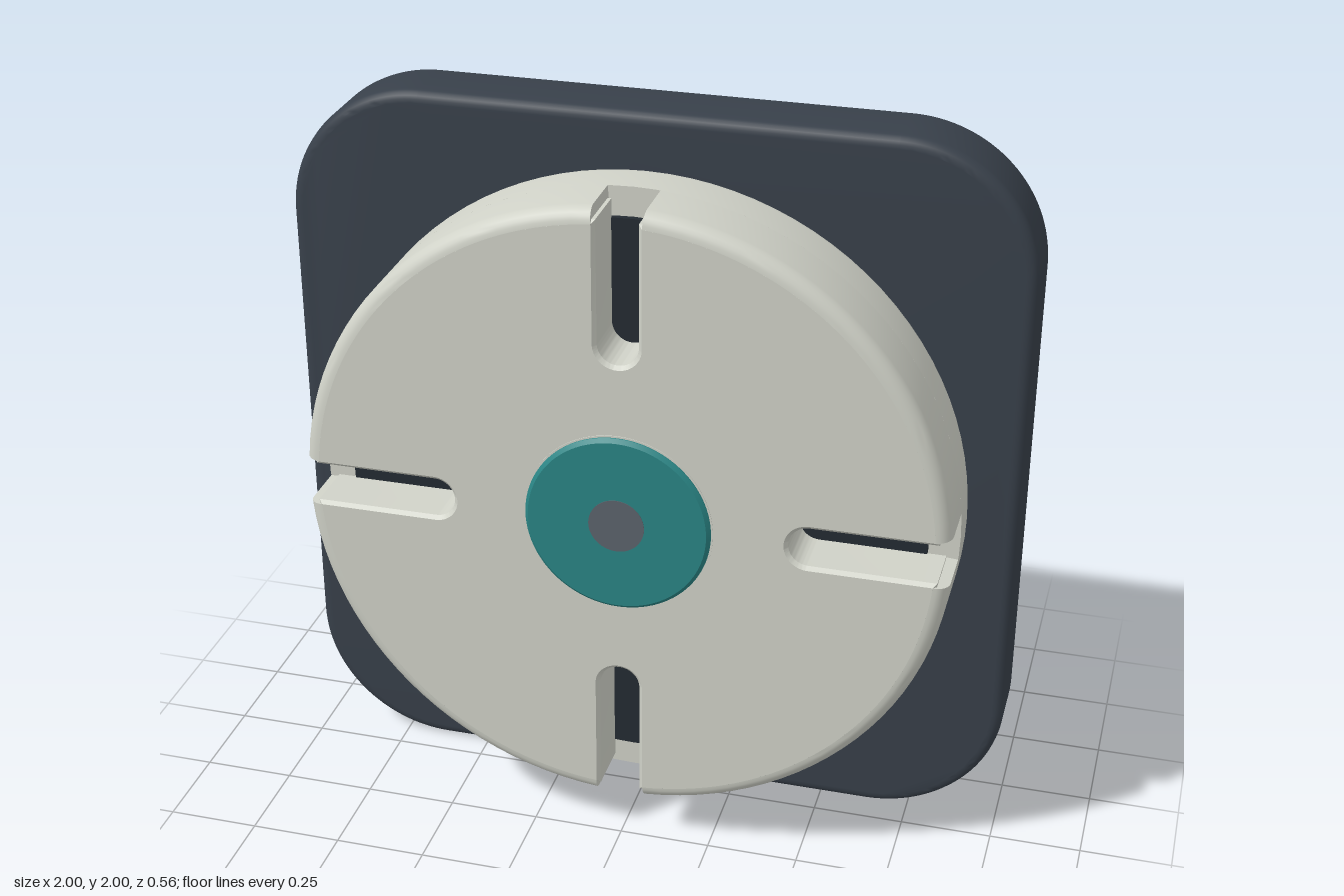
import * as THREE from 'three';
import { toCreasedNormals } from 'three/addons/utils/BufferGeometryUtils.js';

const PI = Math.PI;
const CY = 1; // height of the dial axis

const paint = (color) => new THREE.MeshStandardMaterial({ color, side: THREE.DoubleSide });
const plateMat = paint(0x38404a);
const bodyMat = paint(0xd0d2c8);
const darkMat = paint(0x242b32);
const tealMat = paint(0x2a8585);
const steelMat = paint(0x5c636b);
const orangeMat = paint(0xd9692a);

function add(parent, name, geo, mat) {
  const mesh = new THREE.Mesh(geo, mat);
  mesh.name = name;
  parent.add(mesh);
  return mesh;
}

// Turned part around the z axis; profile points are [radius, z]
function turned(points, start = 0, length = 2 * PI, segments = 96) {
  const pts = points.map(([r, z]) => new THREE.Vector2(r, z));
  const geo = new THREE.LatheGeometry(pts, segments, start, length);
  return toCreasedNormals(geo.rotateX(PI / 2), 0.6);
}

// Solid disc between two z values with a chamfered front edge
const disc = (r, z0, z1, c = 0) =>
  turned([[0, z0], [r, z0], [r, z1 - c], [r - c, z1], [0, z1]]);

// Quarter-round profile points
function fillet(cr, cz, rad, from, to, n = 6) {
  return Array.from({ length: n + 1 }, (_, i) => {
    const t = from + ((to - from) * i) / n;
    return [cr + rad * Math.cos(t), cz + rad * Math.sin(t)];
  });
}

function plateGeometry() {
  const bevel = 0.03, h = 1 - bevel, r = 0.37 - bevel, k = h - r;
  const s = new THREE.Shape();
  s.absarc(k, k, r, 0, PI / 2);
  s.absarc(-k, k, r, PI / 2, PI);
  s.absarc(-k, -k, r, PI, 1.5 * PI);
  s.absarc(k, -k, r, 1.5 * PI, 2 * PI);
  const geo = new THREE.ExtrudeGeometry(s, {
    depth: 0.205 - 2 * bevel, bevelSize: bevel, bevelThickness: bevel,
    bevelSegments: 5, curveSegments: 16,
  });
  return toCreasedNormals(geo.translate(0, 0, -0.275 + bevel), 0.6);
}

// Dial face with four radial slots open at the rim
function faceGeometry(R, w, slotCentre, z0, z1) {
  const s = new THREE.Shape();
  const a = Math.asin(w / R);
  for (let k = 0; k < 4; k++) {
    const base = (k * PI) / 2, d = base + PI / 2;
    s.absarc(0, 0, R, base + a, d - a, false);
    s.absarc(slotCentre * Math.cos(d), slotCentre * Math.sin(d), w, d - PI / 2, d - 1.5 * PI, true);
  }
  const b = 0.01;
  const geo = new THREE.ExtrudeGeometry(s, {
    depth: z1 - z0 - 2 * b, bevelSize: b, bevelThickness: b, bevelSegments: 1, curveSegments: 24,
  });
  return toCreasedNormals(geo.translate(0, 0, z0 + b), 0.5);
}

export function createModel() {
  const model = new THREE.Group();
  model.name = 'slottedDialOnPlate';
  const axis = new THREE.Group();
  axis.name = 'dialAssembly';
  axis.position.y = CY;
  model.add(axis);

  add(axis, 'backPlate', plateGeometry(), plateMat);

  // Dial body: slotted face, full rear ring, rounded rim quarters
  const R = 0.87, f = 0.04, zBack = -0.045, zStep = 0.1, zFront = 0.265, w = 0.065;
  const dial = new THREE.Group();
  dial.name = 'dial';
  axis.add(dial);
  add(dial, 'dialFace', faceGeometry(R - f, w, 0.505, zStep, zFront), bodyMat);
  add(dial, 'rearRing', turned([
    [0.79, zBack], ...fillet(R - f, zBack + f, f, -PI / 2, 0), [R, zStep], [0.79, zStep], [0.79, zBack],
  ]), bodyMat);

  const rim = [[R - f, zStep], [R, zStep], ...fillet(R - f, zFront - f, f, 0, PI / 2)];
  const rimShape = new THREE.Shape(rim.map(([r, z]) => new THREE.Vector2(r, z)));
  const gap = Math.asin(w / (R - f));
  for (let k = 0; k < 4; k++) {
    const start = (k * PI) / 2 + gap, length = PI / 2 - 2 * gap;
    add(dial, 'rimQuarter', turned(rim, start, length, 24), bodyMat);
    // Slot walls closing both ends of the quarter
    for (const phi of [start, start + length]) {
      const cap = new THREE.ShapeGeometry(rimShape).rotateY(phi - PI / 2).rotateX(PI / 2);
      add(dial, 'rimSlotWall', cap, bodyMat);
    }
  }
  add(dial, 'slotFloor', disc(0.79, 0, 0.115), darkMat);

  // Centre cap and spindle
  add(axis, 'capSeat', disc(0.255, 0.2, 0.267), bodyMat);
  add(axis, 'centreCap', disc(0.25, 0.2, 0.28, 0.01), tealMat);
  add(axis, 'spindleTip', disc(0.075, 0.2, 0.2815), steelMat);

  // Parts in the gap between dial and plate
  add(axis, 'hubFlange', disc(0.17, -0.052, 0.01), darkMat);
  add(axis, 'hub', disc(0.105, -0.09, 0.01), darkMat);
  const pin = add(axis, 'locatingPin', disc(0.027, -0.1, 0.02), orangeMat);
  pin.position.x = 0.655;

  return model;
}
